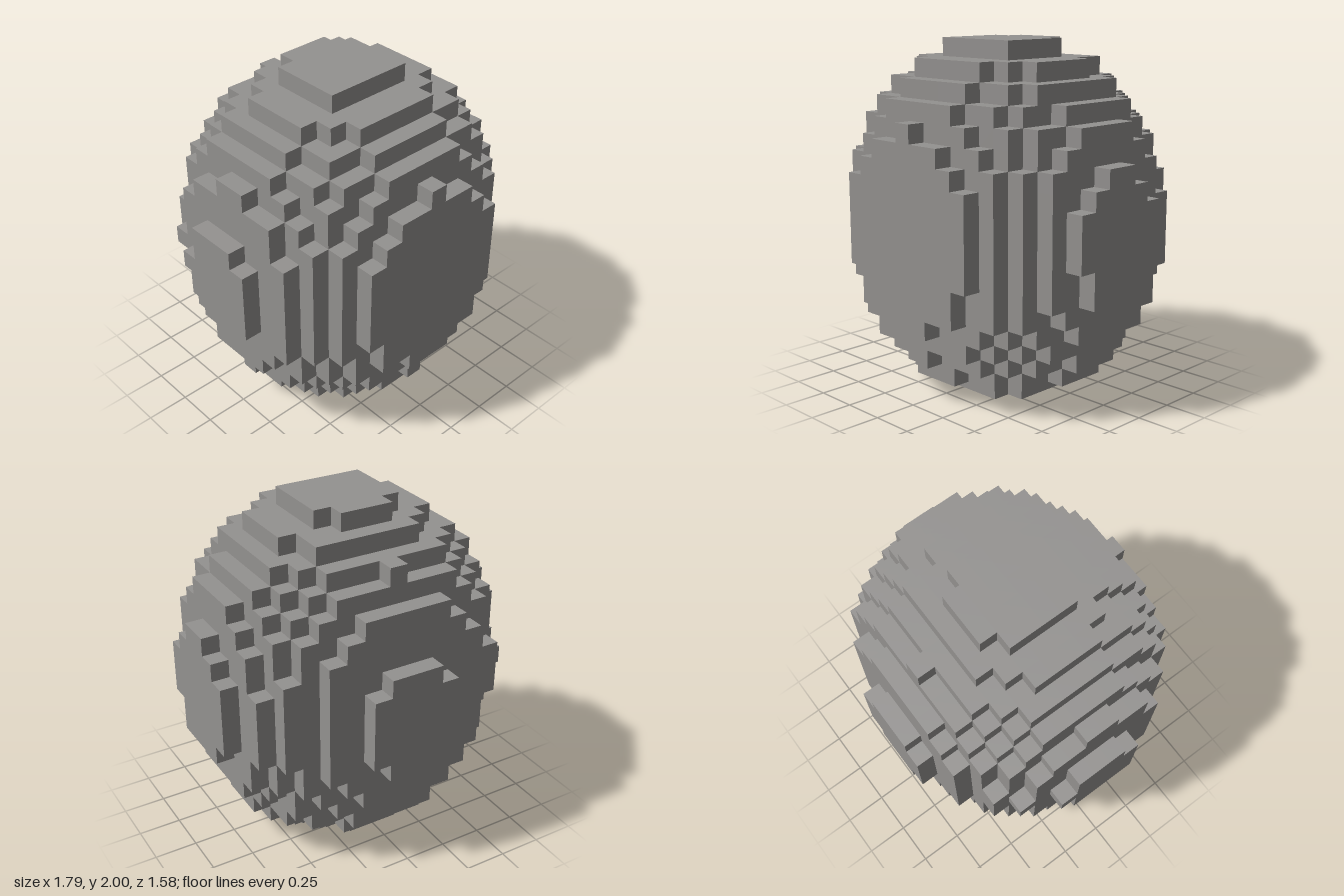
import * as THREE from 'three';
import { mergeGeometries } from 'three/addons/utils/BufferGeometryUtils.js';

const S = 2 / 19; // edge of one cube; the grid is 17 x 19 x 15 cubes

// Slightly uneven ellipsoid: fuller at the front and the bottom
function filled(x, y, z) {
  if (Math.abs(x) > 8 || Math.abs(y) > 9 || Math.abs(z) > 7) return false;
  const ex = x < 0 ? x * 1.023 : x;
  const ey = y > 0 ? y + 0.03 : y < 0 ? y + 0.43 : 0;
  const ez = z > 0 ? z - 0.64 : z - 0.15 * (z / 7) ** 4;
  return (ex / 8.5) ** 2 + (ey / 9.5) ** 2 + (ez / 7.5) ** 2 <= 1;
}

// One outward square per cube side: [dx, dy, dz, rotX, rotY]
const H = Math.PI / 2;
const SIDES = [
  [1, 0, 0, 0, H], [-1, 0, 0, 0, -H],
  [0, 1, 0, -H, 0], [0, -1, 0, H, 0],
  [0, 0, 1, 0, 0], [0, 0, -1, 0, Math.PI],
].map(([dx, dy, dz, rx, ry]) => ({
  dx, dy, dz,
  face: new THREE.PlaneGeometry(S, S).rotateX(rx).rotateY(ry)
    .translate(dx * S / 2, dy * S / 2, dz * S / 2),
}));

export function createModel() {
  const stone = new THREE.MeshStandardMaterial({ color: 0x949290 });
  stone.name = 'stone grey';

  // Keep only the cube sides that border empty space
  const faces = [];
  for (let x = -8; x <= 8; x++)
    for (let y = -9; y <= 9; y++)
      for (let z = -7; z <= 7; z++) {
        if (!filled(x, y, z)) continue;
        for (const { dx, dy, dz, face } of SIDES)
          if (!filled(x + dx, y + dy, z + dz))
            faces.push(face.clone().translate(x * S, y * S + 1, z * S));
      }

  const boulder = new THREE.Mesh(mergeGeometries(faces), stone);
  boulder.name = 'boulder';
  const group = new THREE.Group();
  group.name = 'steppedBoulder';
  group.add(boulder);
  return group;
}
